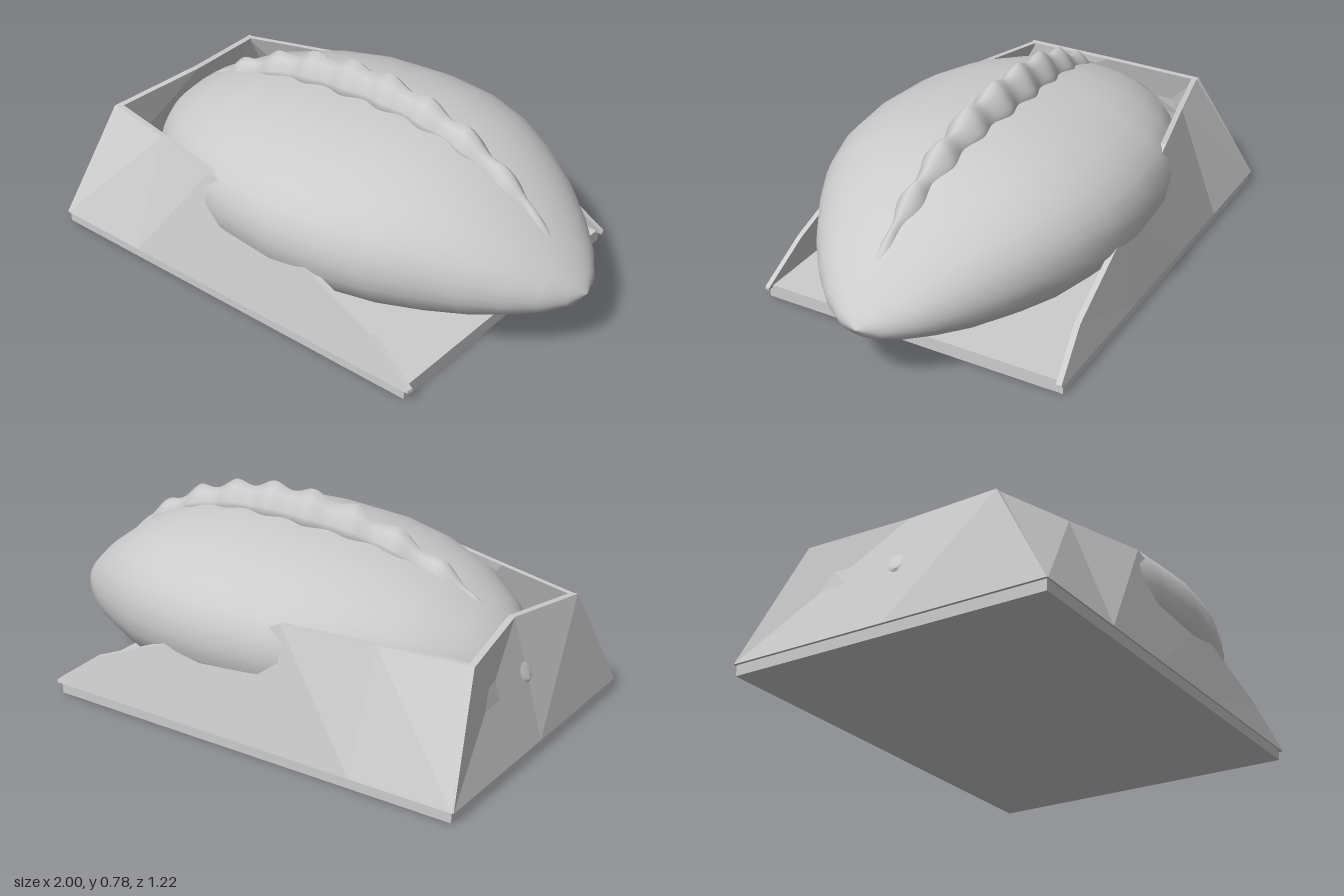
import * as THREE from 'three';

const grey = new THREE.MeshStandardMaterial({ color: 0xcccccc });
grey.name = 'plain grey';
const greyThin = grey;
greyThin.side = THREE.DoubleSide;

function addMesh(group, name, geometry) {
  const mesh = new THREE.Mesh(geometry, grey);
  mesh.name = name;
  group.add(mesh);
  return mesh;
}

// Smooth skin over closed rings that advance along +x
function loft(rings) {
  const n = rings[0].length, index = [];
  for (let i = 0; i < rings.length - 1; i++) {
    for (let j = 0; j < n; j++) {
      const a = i * n + j, b = i * n + (j + 1) % n;
      index.push(a, a + n, b, b, a + n, b + n);
    }
  }
  const geo = new THREE.BufferGeometry();
  geo.setAttribute('position', new THREE.Float32BufferAttribute(rings.flat(2), 3));
  geo.setIndex(index);
  geo.computeVertexNormals();
  return geo;
}

// Flat-sided card panel between a lower and an upper edge, thickened by an offset
function panel(lower, upper, offset) {
  const pos = [];
  const inner = (p) => p.map((v, k) => v + offset[k]);
  const quad = (a, b, c, d) => pos.push(...a, ...b, ...c, ...a, ...c, ...d);
  for (let i = 0; i < lower.length - 1; i++) {
    const [a, b, c, d] = [lower[i], lower[i + 1], upper[i + 1], upper[i]];
    const [e, f, g, h] = [a, b, c, d].map(inner);
    quad(a, b, c, d);
    quad(f, e, h, g);
    quad(d, c, g, h);
    quad(b, a, e, f);
    if (i === 0) quad(a, d, h, e);
    if (i === lower.length - 2) quad(b, f, g, c);
  }
  const geo = new THREE.BufferGeometry();
  geo.setAttribute('position', new THREE.Float32BufferAttribute(pos, 3));
  geo.computeVertexNormals();
  return geo;
}

// Linear lookup in rows of [x, value, value, ...]
function sample(rows, x) {
  let i = 0;
  while (i < rows.length - 2 && rows[i + 1][0] < x) i++;
  const t = (x - rows[i][0]) / (rows[i + 1][0] - rows[i][0]);
  return rows[i].map((v, k) => v + (rows[i + 1][k] - v) * t);
}

// Plump pastry: x, bottom, top, half width, height of the widest line
const bodyRows = [
  [-0.945, 0.26, 0.26, 0, 0.26],
  [-0.92, 0.2, 0.32, 0.08, 0.27],
  [-0.86, 0.15, 0.4, 0.18, 0.28],
  [-0.76, 0.105, 0.49, 0.31, 0.3],
  [-0.6, 0.075, 0.57, 0.43, 0.33],
  [-0.4, 0.058, 0.63, 0.52, 0.35],
  [-0.2, 0.05, 0.66, 0.575, 0.36],
  [0.05, 0.05, 0.675, 0.592, 0.36],
  [0.25, 0.052, 0.672, 0.57, 0.36],
  [0.42, 0.062, 0.645, 0.52, 0.35],
  [0.56, 0.08, 0.6, 0.45, 0.335],
  [0.7, 0.11, 0.525, 0.365, 0.31],
  [0.82, 0.145, 0.44, 0.27, 0.285],
  [0.91, 0.175, 0.36, 0.18, 0.265],
  [0.97, 0.205, 0.3, 0.09, 0.25],
  [1.0, 0.245, 0.245, 0, 0.245],
];

function bodyGeometry() {
  const sides = 32;
  const round = (v) => Math.sign(v) * Math.abs(v) ** 0.93;
  return loft(bodyRows.map(([x, bottom, top, w, mid]) => {
    const ring = [];
    for (let j = 0; j < sides; j++) {
      const a = (j / sides) * Math.PI * 2;
      const s = round(Math.sin(a));
      ring.push([x, mid + s * (s > 0 ? top - mid : mid - bottom), w * round(Math.cos(a))]);
    }
    return ring;
  }));
}

// Crimped seam: x, crest height, z of the far edge, z of the near edge
const seamRows = [
  [-0.79, 0.45, -0.01, 0.01],
  [-0.72, 0.52, -0.025, 0.025],
  [-0.6, 0.6, -0.04, 0.045],
  [-0.42, 0.69, -0.06, 0.05],
  [-0.25, 0.745, -0.075, 0.05],
  [-0.06, 0.772, -0.09, 0.05],
  [0.11, 0.772, -0.09, 0.05],
  [0.29, 0.745, -0.08, 0.05],
  [0.47, 0.69, -0.065, 0.045],
  [0.62, 0.61, -0.045, 0.04],
  [0.75, 0.52, -0.025, 0.035],
  [0.86, 0.4, -0.005, 0.03],
];

function seamGeometry() {
  const rings = [], steps = 110;
  for (let i = 0; i <= steps; i++) {
    const x = -0.79 + (1.65 * i) / steps;
    const [, crest, far, near] = sample(seamRows, x);
    const base = sample(bodyRows, x)[2] - 0.02;
    const wave = Math.cos(((x + 0.06) / 0.178) * Math.PI * 2);
    const swell = Math.min(1, (x + 0.79) / 0.15, (0.86 - x) / 0.15);
    const top = crest + 0.012 * wave * swell;
    const a = near + 0.01 * wave * swell, b = far - 0.01 * wave * swell;
    const mid = (a + b) / 2, h = top - base;
    rings.push([
      [x, base - 0.02, a],
      [x, base + h * 0.35, a * 0.9 + mid * 0.1],
      [x, base + h * 0.8, a * 0.4 + mid * 0.6],
      [x, top, mid],
      [x, base + h * 0.8, b * 0.4 + mid * 0.6],
      [x, base + h * 0.35, b * 0.9 + mid * 0.1],
      [x, base - 0.02, b],
    ]);
  }
  return loft(rings);
}

export function createModel() {
  const model = new THREE.Group();
  model.name = 'pastryInTray';

  addMesh(model, 'pastryBody', bodyGeometry());
  addMesh(model, 'crimpedSeam', seamGeometry());

  // Tray floor
  const tray = new THREE.Group();
  tray.name = 'cardTray';
  model.add(tray);
  addMesh(tray, 'trayFloor', new THREE.BoxGeometry(1.67, 0.05, 1.21)).position.set(-0.155, 0.025, 0);

  // Leaning side walls, sloping down to the open end
  const wallTop = [
    [-0.925, 0.445, 0.375], [-0.6, 0.465, 0.45], [-0.27, 0.485, 0.53],
    [0.13, 0.34, 0.562], [0.52, 0.18, 0.585], [0.7, 0.05, 0.61],
  ];
  const wallFoot = [-0.995, -0.6, -0.27, 0.13, 0.52, 0.7].map((x) => [x, 0.04, 0.612]);
  for (const [side, name] of [[1, 'leftWall'], [-1, 'rightWall']]) {
    const flip = ([x, y, z]) => [x, y, z * side];
    addMesh(tray, name, panel(wallFoot.map(flip), wallTop.map(flip), [0.005, 0, -0.02 * side]));
  }

  // End wall, pushed inwards at the middle of its upper edge
  addMesh(tray, 'endWall', panel(
    [[-1, 0.04, -0.61], [-1, 0.04, 0], [-1, 0.04, 0.61]],
    [[-0.93, 0.445, -0.38], [-0.875, 0.475, 0], [-0.93, 0.445, 0.38]],
    [0.025, 0, 0],
  ));
  return model;
}
